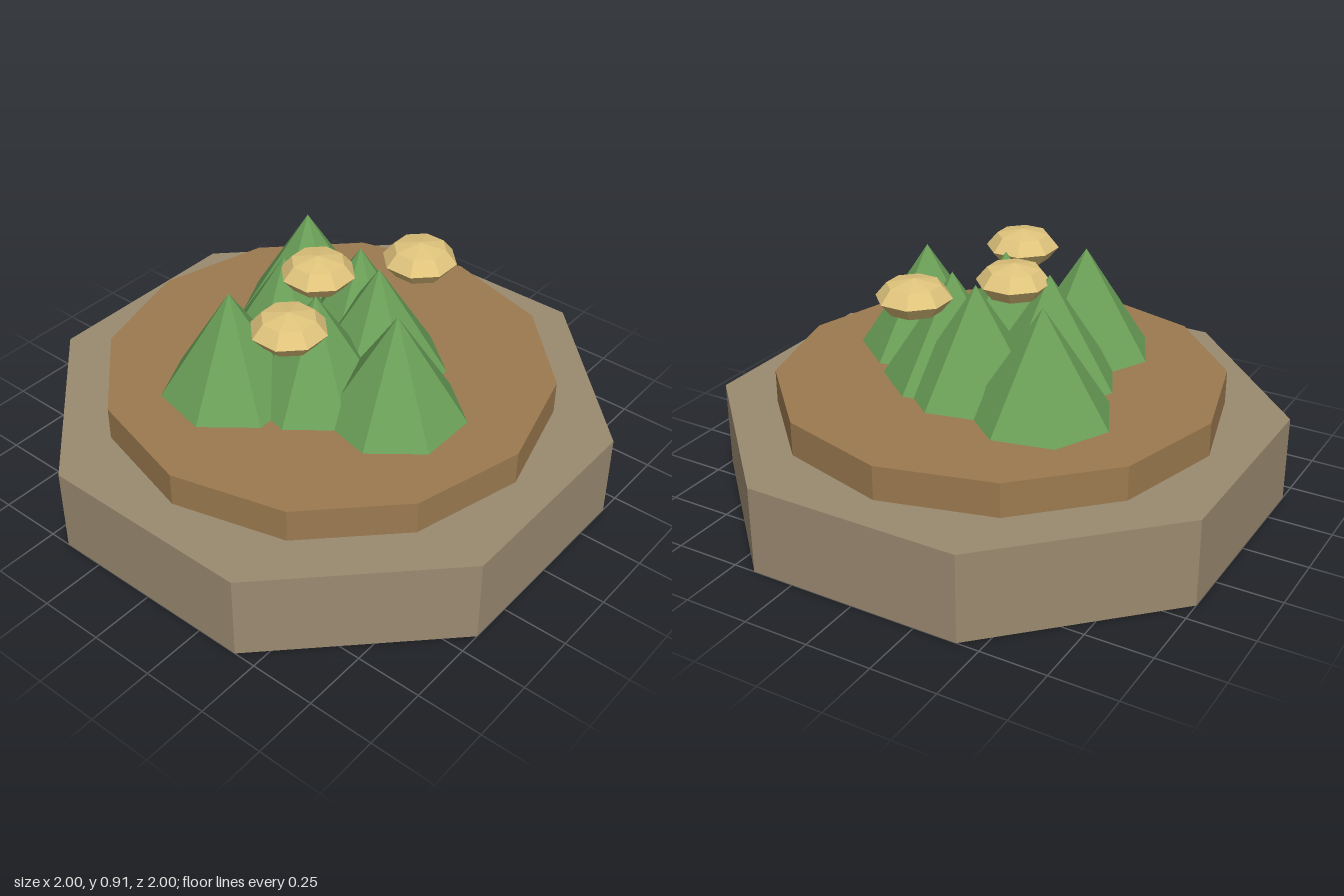
import * as THREE from 'three';

const material = (color) => new THREE.MeshStandardMaterial({ color, flatShading: true });

export function createModel() {
  const model = new THREE.Group();
  const stone = material(0x9b8a70);
  const soil = material(0x9c7a50);
  const leaf = material(0x6ba058);
  const gold = material(0xe0c47c);

  const add = (name, geometry, mat, x, y, z, turn = 0) => {
    const mesh = new THREE.Mesh(geometry, mat);
    mesh.name = name;
    mesh.position.set(x, y, z);
    mesh.rotation.y = turn;
    model.add(mesh);
    return mesh;
  };

  // Eight-sided stone plinth, flat sides facing the axes
  const baseRadius = 1 / Math.cos(Math.PI / 8);
  const baseTop = 0.335;
  add('base', new THREE.CylinderGeometry(baseRadius, baseRadius, baseTop, 8), stone, 0, baseTop / 2, 0, Math.PI / 8);

  // Twelve-sided bed of soil
  const soilTop = 0.465;
  const soilHeight = soilTop - baseTop;
  add('soilBed', new THREE.CylinderGeometry(0.85, 0.85, soilHeight, 12), soil, 0, baseTop + soilHeight / 2, 0);

  // Cluster of seven-sided bushes, one corner towards the back
  const bushHeight = 0.41;
  const bush = new THREE.ConeGeometry(0.265, bushHeight, 7);
  const bushes = [
    [0.24, -0.305], [-0.348, -0.17], [-0.04, -0.18], [0.18, 0],
    [-0.165, 0.075], [0.112, 0.14], [-0.085, 0.375],
  ];
  bushes.forEach(([x, z], i) =>
    add(`bush${i + 1}`, bush, leaf, x, soilTop + bushHeight / 2, z, Math.PI));

  // Flattened golden blossoms hovering at the tips
  const blossom = new THREE.SphereGeometry(0.14, 8, 4);
  blossom.scale(1, 0.5, 1);
  [[0, -0.053], [-0.337, 0.1], [0.308, 0.177]].forEach(([x, z], i) =>
    add(`blossom${i + 1}`, blossom, gold, x, 0.84, z, Math.PI / 8));

  return model;
}
